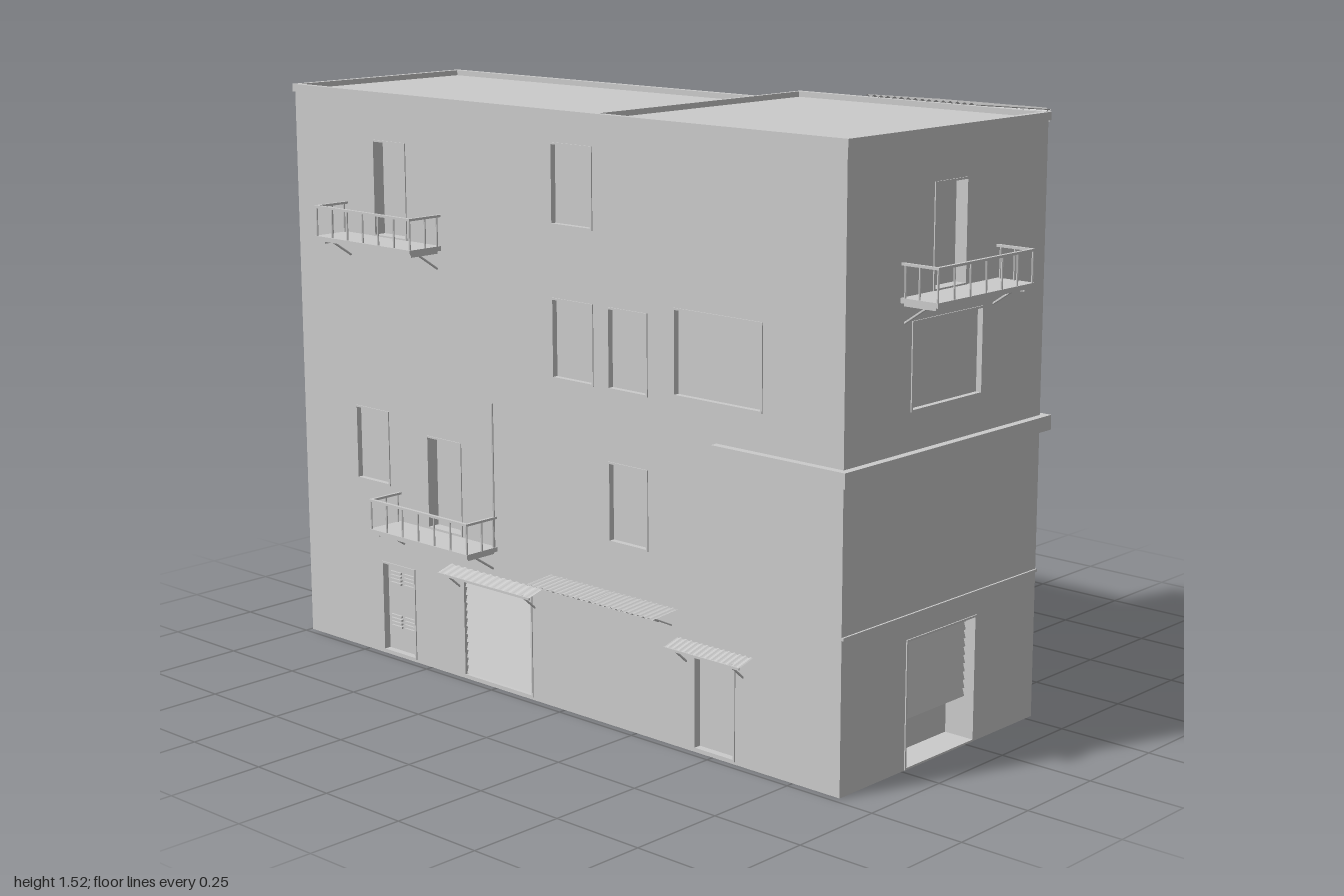
import * as THREE from 'three';

const mat = new THREE.MeshStandardMaterial({ color: 0xcccccc, side: THREE.DoubleSide, flatShading: true });
const X0 = -0.995, X1 = 0.89, XM = 0.12, ZF = 0.48, ZM = -0.1, ZB = -0.275, H = 1.51;

function add(parent, name, geo, x = 0, y = 0, z = 0) {
  const m = new THREE.Mesh(geo, mat);
  m.name = name;
  m.position.set(x, y, z);
  parent.add(m);
  return m;
}
// box given by its limits
function box(parent, name, xa, xb, ya, yb, za, zb) {
  return add(parent, name, new THREE.BoxGeometry(xb - xa, yb - ya, zb - za),
    (xa + xb) / 2, (ya + yb) / 2, (za + zb) / 2);
}
// thin round bar between two points
function bar(parent, name, a, b, r = 0.0028) {
  const p = new THREE.Vector3(...a), q = new THREE.Vector3(...b);
  const m = add(parent, name, new THREE.CylinderGeometry(r, r, p.distanceTo(q), 6));
  m.position.copy(p).lerp(q, 0.5);
  m.quaternion.setFromUnitVectors(new THREE.Vector3(0, 1, 0), q.sub(p).normalize());
}
function rect(T, xa, xb, ya, yb) {
  const s = new T();
  s.moveTo(xa, ya); s.lineTo(xb, ya); s.lineTo(xb, yb); s.lineTo(xa, yb); s.closePath();
  return s;
}

// Facade group: local x runs along the wall, local z points outward.
// Openings are [type, xa, xb, ya, yb].
function facade(parent, name, pos, turn, xa, xb, openings = []) {
  const g = new THREE.Group();
  g.name = name;
  g.position.set(...pos);
  g.rotation.y = turn;
  parent.add(g);
  const s = rect(THREE.Shape, xa, xb, 0, H - 0.01);
  for (const [, a, b, c, d] of openings) s.holes.push(rect(THREE.Path, a, b, c, d));
  add(g, 'wall', new THREE.ShapeGeometry(s));
  for (const o of openings) fillOpening(g, ...o);
  return g;
}

// Frame lining the hole, plus the pane, door leaf or roller shutter
function fillOpening(g, type, a, b, c, d) {
  const depth = { window: 0.012, door: 0.016, balconyDoor: 0.03, shutter: 0.016, openShutter: 0.08 }[type];
  const t = 0.004;
  const f = rect(THREE.Shape, a - 0.001, b + 0.001, c - 0.001, d + 0.001);
  f.holes.push(rect(THREE.Path, a + t, b - t, c + t, d - t));
  add(g, type + 'Frame', new THREE.ExtrudeGeometry(f, { depth: depth + 0.003, bevelEnabled: false }), 0, 0, -depth);
  box(g, type + 'Panel', a, b, c, d, -depth - 0.006, -depth);
  if (type === 'shutter') slats(g, a + t, b - t, c + 0.005, d, -0.008);
  if (type === 'openShutter') slats(g, a + t, b - t, 0.11, d, -0.03);
}
function slats(g, a, b, c, d, z) {
  const n = Math.round((d - c) / 0.022), p = (d - c) / n;
  for (let i = 0; i < n; i++) {
    const m = add(g, 'shutterSlat', new THREE.BoxGeometry(b - a, p, 0.004), (a + b) / 2, c + (i + 0.5) * p, z);
    m.rotation.x = -0.3;
  }
}

// Balcony with slab, railing and diagonal brackets
function balcony(parent, a, b, y) {
  const g = new THREE.Group();
  g.name = 'balcony';
  parent.add(g);
  const D = 0.105, top = y + 0.085, n = 6;
  box(g, 'balconySlab', a, b, y - 0.007, y + 0.005, 0, D);
  const ia = a + 0.004, ib = b - 0.004, iz = D - 0.004;
  box(g, 'frontRail', a, b, top - 0.006, top, D - 0.009, D);
  for (const x of [ia, ib]) {
    box(g, 'sideRail', x - 0.004, x + 0.004, top - 0.006, top, 0, D);
    bar(g, 'railingPost', [x, y, 0.05], [x, top, 0.05]);
    bar(g, 'railingPost', [x, y, 0.01], [x, top, 0.01]);
  }
  for (let i = 0; i <= n; i++) {
    const x = ia + (ib - ia) * i / n;
    bar(g, 'railingPost', [x, y, iz], [x, top, iz]);
  }
  for (const x of [a + 0.016, b - 0.016]) {
    bar(g, 'balconyBracket', [x, y - 0.055, 0], [x, y - 0.005, 0.075], 0.003);
    box(g, 'bracketArm', x - 0.003, x + 0.003, y - 0.016, y - 0.007, 0, 0.09);
  }
}

// Corrugated sheet sloping from (y0, z0) to (y1, z1)
function sheet(parent, name, a, b, y0, z0, y1, z1, waves, amp) {
  const geo = new THREE.PlaneGeometry(b - a, 1, waves * 6, 1);
  const p = geo.attributes.position;
  for (let i = 0; i < p.count; i++) {
    const x = p.getX(i), t = 0.5 - p.getY(i);
    const w = amp * Math.sin((x - a) / (b - a) * waves * Math.PI * 2);
    p.setXYZ(i, x + (a + b) / 2, y0 + (y1 - y0) * t + w, z0 + (z1 - z0) * t);
  }
  geo.computeVertexNormals();
  add(parent, name, geo);
}
// Small canopy over a door
function canopy(g, a, b, y) {
  sheet(g, 'doorCanopy', a, b, y + 0.014, 0, y, 0.05, 14, 0.002);
  box(g, 'canopyEdge', a, b, y - 0.004, y + 0.002, 0.046, 0.05);
  for (const x of [a + 0.03, b - 0.03]) {
    bar(g, 'canopyStrut', [x, y - 0.04, 0], [x, y, 0.045]);
    bar(g, 'canopyArm', [x, y, 0], [x, y, 0.048]);
  }
}

export function createModel() {
  const root = new THREE.Group();
  root.name = 'building';

  // Front facade
  const front = facade(root, 'frontFacade', [0, 0, ZF], 0, X0, X1, [
    ['door', -0.69, -0.56, 0.008, 0.255], ['shutter', -0.37, -0.115, 0.008, 0.29],
    ['door', 0.44, 0.57, 0.008, 0.26],
    ['balconyDoor', -0.5, -0.37, 0.383, 0.63], ['balconyDoor', -0.685, -0.56, 1.135, 1.385],
    ['window', -0.78, -0.65, 0.47, 0.67], ['window', 0.16, 0.29, 0.47, 0.67],
    ['window', -0.03, 0.11, 0.85, 1.05], ['window', 0.16, 0.29, 0.85, 1.05],
    ['window', 0.375, 0.65, 0.865, 1.075], ['window', -0.03, 0.11, 1.23, 1.43],
  ]);
  balcony(front, -0.8, -0.43, 1.13);
  balcony(front, -0.615, -0.24, 0.375);
  bar(front, 'pole', [-0.245, 0.37, 0.006], [-0.245, 0.755, 0.006], 0.003);
  canopy(front, -0.415, -0.075, 0.287);
  canopy(front, 0.385, 0.625, 0.262);
  // vent louvres in the left door
  for (const y of [0.075, 0.195])
    for (const x of [-0.652, -0.598])
      for (let i = 0; i < 4; i++)
        box(front, 'doorLouvre', x - 0.021, x + 0.021, y + i * 0.01, y + i * 0.01 + 0.005, -0.016, -0.01);
  // pair of sheet awnings
  for (const a of [-0.05, 0.175]) {
    sheet(front, 'sheetAwning', a, a + 0.215, 0.345, 0, 0.338, 0.085, 12, 0.002);
    for (let i = 0; i < 5; i++) {
      const x = a + 0.02 + i * 0.043;
      bar(front, 'awningStrut', [x, 0.302, 0], [x, 0.336, 0.07], 0.002);
    }
  }

  // Right facade (local x = -z)
  const side = facade(root, 'sideFacade', [X1, 0, 0], Math.PI / 2, -ZF, -ZB, [
    ['openShutter', -0.24, 0.03, 0.002, 0.32], ['window', -0.24, 0.03, 0.865, 1.075],
    ['balconyDoor', -0.165, -0.04, 1.135, 1.385],
  ]);
  balcony(side, -0.285, 0.085, 1.13);
  box(side, 'thinBand', -ZF, -ZB, 0.376, 0.383, -0.002, 0.005);

  // Back facade of the deep wing (local x = -x)
  const back = facade(root, 'backFacade', [0, 0, ZB], Math.PI, -X1, -XM, [
    ['window', -0.573, -0.437, 1.13, 1.385],
  ]);
  sheet(back, 'backAwning', -0.68, -0.335, 1.513, 0, 1.478, 0.315, 16, 0.003);
  sheet(back, 'awningLip', -0.68, -0.335, 1.478, 0.315, 1.448, 0.313, 16, 0.002);
  for (const x of [-0.665, -0.35]) {
    bar(back, 'awningStrut', [x, 1.45, 0], [x, 1.49, 0.165], 0.003);
    bar(back, 'awningRafter', [x, 1.503, 0], [x, 1.47, 0.312], 0.003);
  }
  for (const z of [0.06, 0.165, 0.3]) {
    const y = 1.507 - z * 0.11;
    bar(back, 'awningPurlin', [-0.68, y, z], [-0.335, y, z], 0.003);
  }

  // Remaining plain walls
  facade(root, 'wingBackFacade', [0, 0, ZM], Math.PI, -XM, -X0);
  facade(root, 'stepFacade', [XM, 0, 0], -Math.PI / 2, ZB, ZM);
  facade(root, 'leftFacade', [X0, 0, 0], -Math.PI / 2, ZM, ZF);

  // Ledge wrapping the deep wing
  const o = 0.02, ya = 0.735, yb = 0.772;
  box(root, 'frontLedge', 0.51, X1 + o, ya, yb, ZF, ZF + o);
  box(root, 'sideLedge', X1, X1 + o, ya, yb, ZB, ZF);
  box(root, 'backLedge', XM - o, X1 + o, ya, yb, ZB - o, ZB);
  box(root, 'stepLedge', XM - o, XM, ya, yb, ZB, ZM);

  // Roof deck and raised rim, drawn in plan with y = -z
  const outline = (e) => new THREE.Shape([
    [X0 - e, -ZF - e], [X1 + e, -ZF - e], [X1 + e, -ZB + e],
    [XM - e, -ZB + e], [XM - e, -ZM + e], [X0 - e, -ZM + e],
  ].map(([x, y]) => new THREE.Vector2(x, y)));
  const w = 0.012;
  const rim = outline(0.005);
  rim.holes.push(rect(THREE.Path, X0 + w, XM - w / 2, -ZF + w, -ZM - w));
  rim.holes.push(rect(THREE.Path, XM + w / 2, X1 - w, -ZF + w, -ZB - w));
  add(root, 'roofRim', new THREE.ExtrudeGeometry(rim, { depth: 0.02, bevelEnabled: false }), 0, H - 0.02, 0)
    .rotation.x = -Math.PI / 2;
  add(root, 'roofDeck', new THREE.ShapeGeometry(outline(0)), 0, H - 0.014, 0).rotation.x = -Math.PI / 2;

  return root;
}
